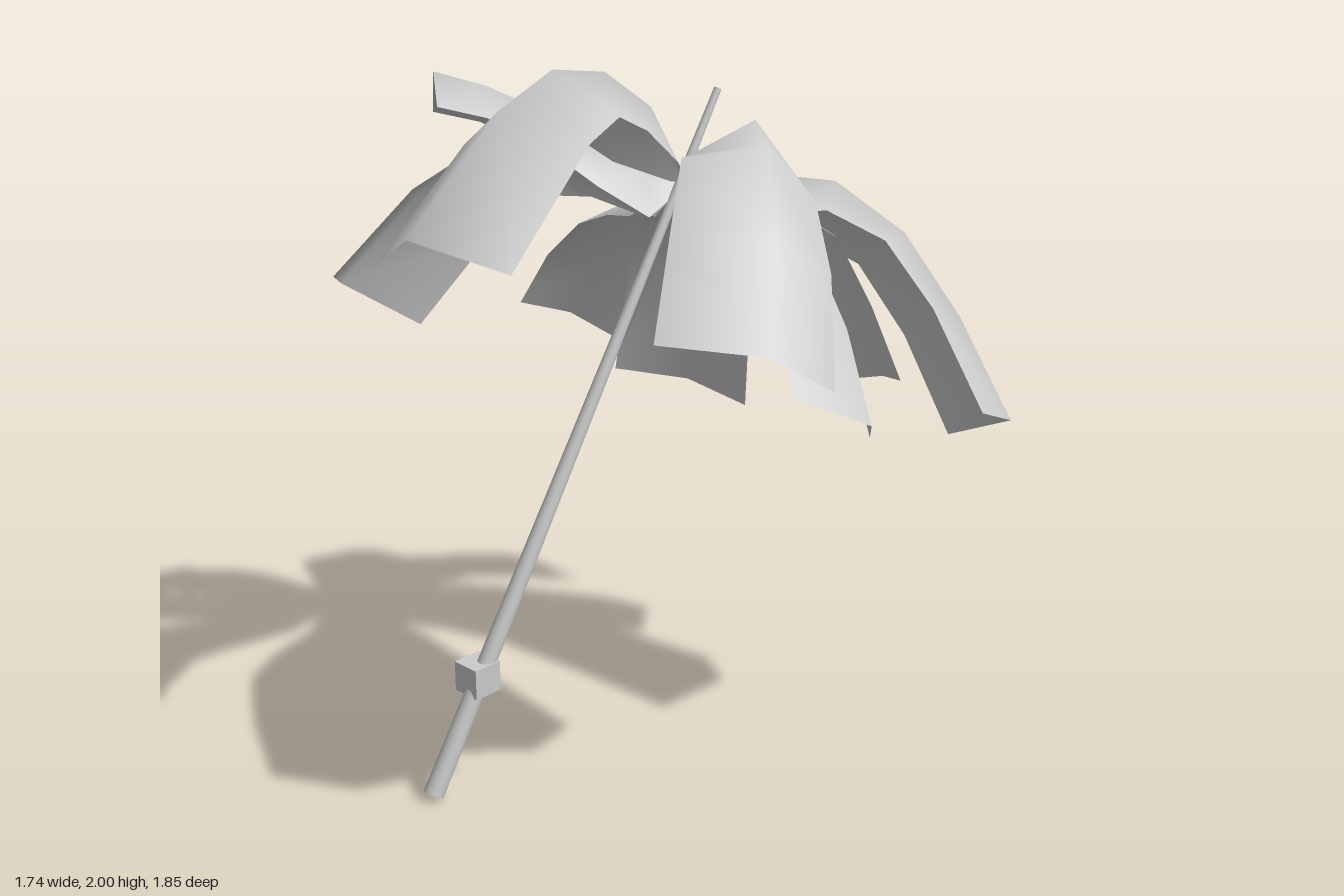
import * as THREE from 'three';

const grey = new THREE.MeshStandardMaterial({ color: 0xcccccc });
const leafGrey = new THREE.MeshStandardMaterial({ color: 0xcccccc, side: THREE.DoubleSide });

const HUB = [0.25, 1.645, 0];
// from hub to tip: share of the tip width, and how far the edges fold down
const WIDTHS = [0.05, 0.48, 0.66, 0.8, 0.92, 1];
const FOLDS = [0.01, 0.09, 0.06, 0.02, 0, 0];

// A leaf is a strip with a tent-shaped section: ridge line plus two lower edges.
// leftTip and rightTip are the outer corners beside the last ridge point; the
// tip section is carried back along the ridge, turning with its direction.
function leaf(name, ridge, leftTip, rightTip) {
  const stations = [HUB, ...ridge].map((p) => new THREE.Vector3(...p));
  const last = stations.length - 1;
  const tip = stations[last];
  const left = new THREE.Vector3(...leftTip).sub(tip);
  const right = new THREE.Vector3(...rightTip).sub(tip);
  const direction = (i) => stations[Math.min(i + 1, last)].clone()
    .sub(stations[Math.max(i - 1, 0)]).normalize();
  const tipDirection = direction(last);
  const points = [];
  const index = [];
  stations.forEach((p, i) => {
    const turn = new THREE.Quaternion().setFromUnitVectors(tipDirection, direction(i));
    const edge = (offset) => {
      const e = offset.clone().applyQuaternion(turn).multiplyScalar(WIDTHS[i]).add(p);
      e.y -= FOLDS[i];
      return e;
    };
    points.push(edge(left), p, edge(right));
    if (i === 0) return;
    for (let k = 0; k < 2; k++) {
      const a = (i - 1) * 3 + k;
      index.push(a, a + 1, a + 4, a, a + 4, a + 3);
    }
  });
  const geometry = new THREE.BufferGeometry().setFromPoints(points);
  geometry.setIndex(index);
  geometry.computeVertexNormals();
  const mesh = new THREE.Mesh(geometry, leafGrey);
  mesh.name = name;
  return mesh;
}

// Tapered rod between two points
function rod(name, from, to, r0, r1) {
  const a = new THREE.Vector3(...from);
  const b = new THREE.Vector3(...to);
  const dir = b.clone().sub(a);
  const mesh = new THREE.Mesh(new THREE.CylinderGeometry(r1, r0, dir.length(), 16), grey);
  mesh.position.copy(a).add(b).multiplyScalar(0.5);
  mesh.quaternion.setFromUnitVectors(new THREE.Vector3(0, 1, 0), dir.normalize());
  mesh.name = name;
  return mesh;
}

export function createModel() {
  const model = new THREE.Group();
  model.name = 'leafParasol';

  // Leaning pole and the block on its handle
  model.add(rod('pole', [-0.703, 0.015, -0.073], [0.37, 1.895, 0.01], 0.03, 0.011));
  const block = new THREE.Mesh(new THREE.BoxGeometry(0.09, 0.09, 0.09), grey);
  block.position.set(-0.527, 0.322, -0.073);
  block.name = 'handleBlock';
  model.add(block);

  // Canopy leaves, in order around the hub
  const canopy = new THREE.Group();
  canopy.name = 'canopy';
  canopy.add(
    leaf('rightLeaf',
      [[0.08, 1.87, 0.02], [-0.11, 1.98, 0.03], [-0.30, 2.0, 0.03], [-0.52, 1.92, 0.07], [-0.87, 1.66, 0.13]],
      [-0.79, 1.55, -0.10], [-0.74, 1.59, 0.35]),
    leaf('frontRightLeaf',
      [[0.19, 1.79, 0.2], [0.08, 1.87, 0.39], [-0.08, 1.84, 0.56], [-0.26, 1.67, 0.73], [-0.45, 1.44, 0.88]],
      [-0.58, 1.45, 0.65], [-0.22, 1.31, 0.90]),
    leaf('frontLeaf',
      [[0.25, 1.62, 0.15], [0.23, 1.62, 0.32], [0.17, 1.54, 0.52], [0.08, 1.37, 0.71], [-0.02, 1.17, 0.87]],
      [-0.20, 1.26, 0.76], [0.12, 1.08, 0.77]),
    leaf('frontLeftLeaf',
      [[0.42, 1.66, 0.14], [0.56, 1.64, 0.30], [0.66, 1.50, 0.48], [0.68, 1.28, 0.67], [0.66, 1.02, 0.87]],
      [0.42, 1.11, 0.92], [0.71, 0.91, 0.64]),
    leaf('leftLeaf',
      [[0.42, 1.65, 0.05], [0.57, 1.62, 0.10], [0.70, 1.46, 0.17], [0.79, 1.22, 0.23], [0.87, 0.98, 0.29]],
      [0.73, 1.03, 0.45], [0.81, 0.93, 0.08]),
    leaf('backLeftLeaf',
      [[0.42, 1.62, -0.11], [0.57, 1.55, -0.22], [0.69, 1.38, -0.33], [0.77, 1.11, -0.42], [0.83, 0.81, -0.50]],
      [0.81, 0.78, -0.22], [0.60, 0.87, -0.63]),
    leaf('backLeaf',
      [[0.36, 1.60, -0.2], [0.45, 1.54, -0.34], [0.51, 1.42, -0.51], [0.53, 1.25, -0.66], [0.52, 1.06, -0.77]],
      [0.58, 0.98, -0.57], [0.31, 1.13, -0.79]),
    leaf('backRightLeaf',
      [[0.24, 1.73, -0.2], [0.18, 1.78, -0.4], [0.07, 1.73, -0.62], [-0.11, 1.54, -0.79], [-0.31, 1.28, -0.93]],
      [-0.10, 1.13, -0.81], [-0.47, 1.36, -0.74]),
    leaf('raisedLeaf',
      [[0.16, 1.68, -0.07], [0.05, 1.76, -0.16], [-0.07, 1.85, -0.26], [-0.19, 1.92, -0.36], [-0.30, 1.96, -0.45]],
      [-0.21, 1.83, -0.57], [-0.38, 1.88, -0.34]),
  );
  model.add(canopy);
  return model;
}
